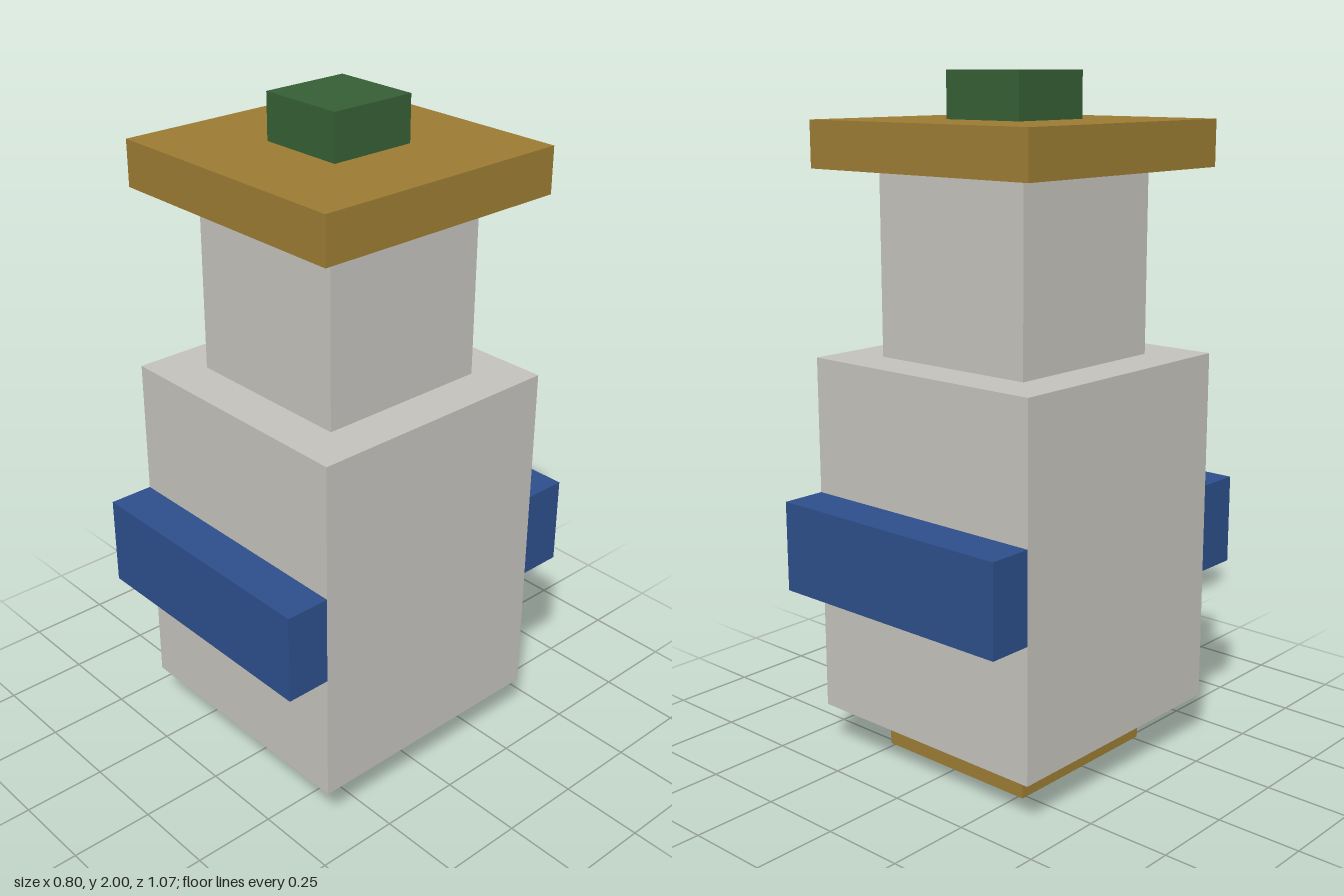
import * as THREE from 'three';

const U = 2 / 15; // modular unit: the model is 15 units tall

export function createModel() {
  const model = new THREE.Group();
  model.name = 'bottle';

  const material = (name, color) => {
    const m = new THREE.MeshStandardMaterial({ color });
    m.name = name;
    return m;
  };
  const paleGrey = material('paleGrey', 0xc3c1bb);
  const ochre = material('ochre', 0x9a7b33);
  const blue = material('blue', 0x2d4e8a);
  const green = material('green', 0x355e34);

  // A block from its width, depth, bottom and top, in modular units
  const block = (name, mat, width, depth, bottom, top, z = 0) => {
    const geometry = new THREE.BoxGeometry(width * U, (top - bottom) * U, depth * U);
    const mesh = new THREE.Mesh(geometry, mat);
    mesh.name = name;
    mesh.position.set(0, ((bottom + top) / 2) * U, z * U);
    model.add(mesh);
  };

  // Stacked core
  block('foot', ochre, 4, 4, 0, 1);
  block('body', paleGrey, 6, 6, 1, 9);
  block('neck', paleGrey, 4, 4, 9, 13);
  block('rim', ochre, 6, 6, 13, 14);
  block('knob', green, 2, 2, 14, 15);

  // Raised bands on the front and back of the body
  for (const side of [1, -1]) {
    block(side > 0 ? 'frontBand' : 'backBand', blue, 6, 1, 4, 6, side * 3.5);
  }

  return model;
}
